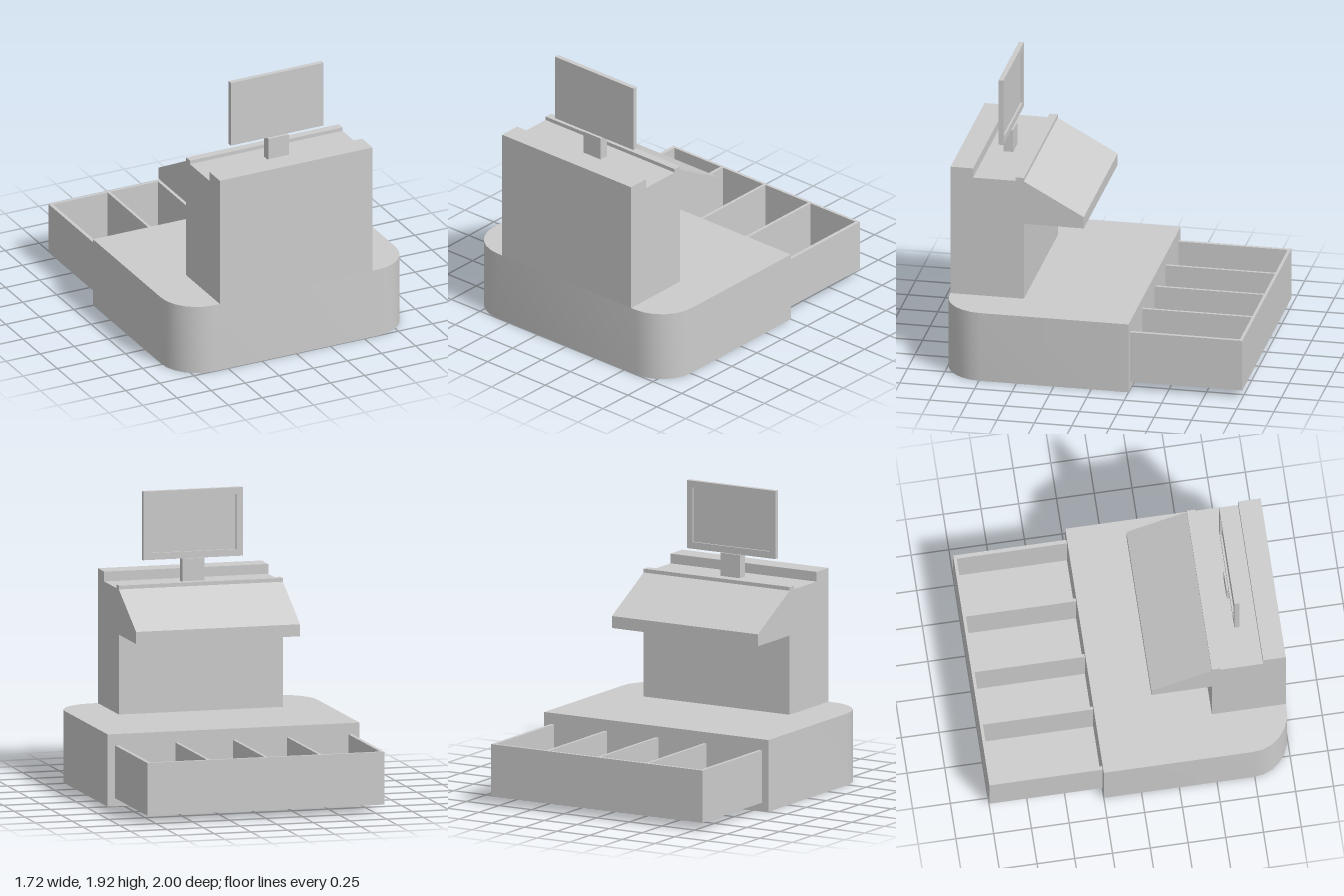
import * as THREE from 'three';
import { toCreasedNormals } from 'three/addons/utils/BufferGeometryUtils.js';

export function createModel() {
  const group = new THREE.Group();
  const material = new THREE.MeshStandardMaterial({ color: 0xcccccc });

  function add(name, geometry, parent = group) {
    const mesh = new THREE.Mesh(geometry, material);
    mesh.name = name;
    parent.add(mesh);
    return mesh;
  }

  // Box given by its limits on each axis
  function box(name, [x0, x1], [y0, y1], [z0, z1], parent) {
    const mesh = add(name, new THREE.BoxGeometry(x1 - x0, y1 - y0, z1 - z0), parent);
    mesh.position.set((x0 + x1) / 2, (y0 + y1) / 2, (z0 + z1) / 2);
    return mesh;
  }

  // Base: slab with two rounded front corners (shape y is -z)
  const halfW = 0.86, r = 0.26;
  const plan = new THREE.Shape();
  plan.moveTo(-halfW, 0.25);
  plan.lineTo(-halfW, -1 + r);
  plan.absarc(-halfW + r, -1 + r, r, Math.PI, Math.PI * 1.5, false);
  plan.lineTo(halfW - r, -1);
  plan.absarc(halfW - r, -1 + r, r, -Math.PI / 2, 0, false);
  plan.lineTo(halfW, 0.25);
  plan.closePath();
  const baseGeometry = new THREE.ExtrudeGeometry(plan, { depth: 0.48, bevelEnabled: false, curveSegments: 3 });
  baseGeometry.rotateX(-Math.PI / 2);
  add('base', toCreasedNormals(baseGeometry, 0.6));

  // Housing: side profile (z, y) with sloped keyboard shelf, extruded across x
  const profile = [
    [1, 0.48], [1, 1.375], [0.85, 1.375], [0.85, 1.31], [0.565, 1.31], [0.565, 1.335],
    [0.51, 1.335], [0.51, 1.31], [0.11, 1.09], [0.11, 1.01], [0.51, 1.01], [0.51, 0.48],
  ];
  const side = new THREE.Shape(profile.map(([z, y]) => new THREE.Vector2(-z, y)));
  const housing = new THREE.ExtrudeGeometry(side, { depth: 1.12, bevelEnabled: false });
  housing.translate(0, 0, -0.56);
  housing.rotateY(Math.PI / 2);
  add('housing', housing);

  // Display: post, back panel and raised frame facing the operator (-z)
  const display = new THREE.Group();
  display.name = 'display';
  group.add(display);
  box('displayPost', [-0.075, 0.075], [1.3, 1.465], [0.68, 0.745], display);
  box('displayPanel', [-0.34, 0.34], [1.465, 1.92], [0.705, 0.725], display);
  const rect = (Type, w, h) => new Type([[-w, -h], [w, -h], [w, h], [-w, h]].map(([x, y]) => new THREE.Vector2(x, y)));
  const frame = rect(THREE.Shape, 0.34, 0.2275);
  frame.holes.push(rect(THREE.Path, 0.295, 0.1825));
  const bezel = add('displayFrame', new THREE.ExtrudeGeometry(frame, { depth: 0.013, bevelEnabled: false }), display);
  bezel.position.set(0, 1.6925, 0.692);

  // Open cash drawer: floor, walls and three dividers
  const drawer = new THREE.Group();
  drawer.name = 'cashDrawer';
  group.add(drawer);
  const height = [0.055, 0.405], inside = [-0.98, -0.25];
  box('drawerFloor', [-0.785, 0.785], [0.055, 0.08], inside, drawer);
  box('drawerFace', [-0.81, 0.81], height, [-1, -0.98], drawer);
  for (const s of [-1, 1]) {
    box('drawerSide', [s * 0.7975 - 0.0125, s * 0.7975 + 0.0125], height, inside, drawer);
  }
  for (const x of [-0.375, -0.005, 0.387]) {
    box('drawerDivider', [x - 0.01, x + 0.01], [0.08, 0.405], inside, drawer);
  }

  return group;
}
